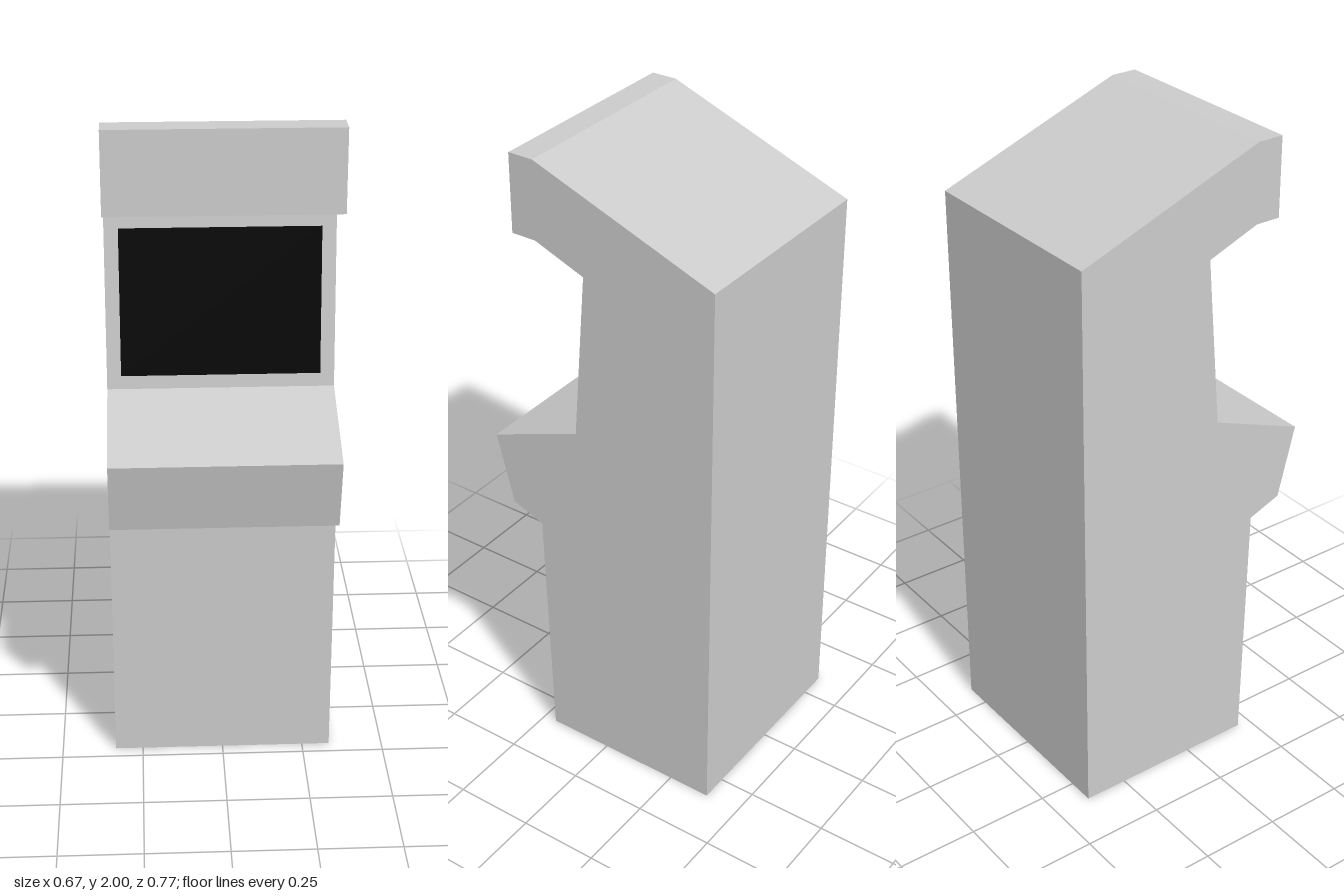
import * as THREE from 'three';

const HALF_WIDTH = 0.335;

export function createModel() {
  const group = new THREE.Group();
  group.name = 'arcadeCabinet';

  // Cabinet: side silhouette as [z, y], extruded across the width
  const glassBottom = [0.085, 1.17];
  const glassTop = [0.042, 1.695];
  const profile = [
    [-0.387, 0], [0.207, 0], [0.226, 0.79],          // base and front door
    [0.33, 0.83], [0.387, 1.053], glassBottom,       // control panel
    glassTop, [0.205, 1.758], [0.284, 1.758],        // screen panel, hood underside
    [0.284, 2], [0.203, 2], [-0.387, 1.78],          // sign front and sloping roof
  ];
  const shape = new THREE.Shape(profile.map(([z, y]) => new THREE.Vector2(z, y)));
  const bodyGeometry = new THREE.ExtrudeGeometry(shape, { depth: HALF_WIDTH * 2, bevelEnabled: false });
  bodyGeometry.translate(0, 0, -HALF_WIDTH).rotateY(-Math.PI / 2);
  const body = new THREE.Mesh(bodyGeometry, new THREE.MeshStandardMaterial({ color: 0xcccccc, flatShading: true }));
  body.name = 'cabinet';
  group.add(body);

  // Screen: black sheet lying just in front of the tilted screen panel
  const dz = glassTop[0] - glassBottom[0];
  const dy = glassTop[1] - glassBottom[1];
  const tilt = Math.atan2(dz, dy);
  const y = 1.431;
  const z = glassBottom[0] + dz * (y - glassBottom[1]) / dy;
  const screen = new THREE.Mesh(
    new THREE.PlaneGeometry(0.587, 0.441 / Math.cos(tilt)),
    new THREE.MeshStandardMaterial({ color: 0x000000 })
  );
  screen.name = 'screen';
  screen.rotation.x = tilt;
  screen.position.set(0, y, z + 0.002);
  group.add(screen);

  return group;
}
